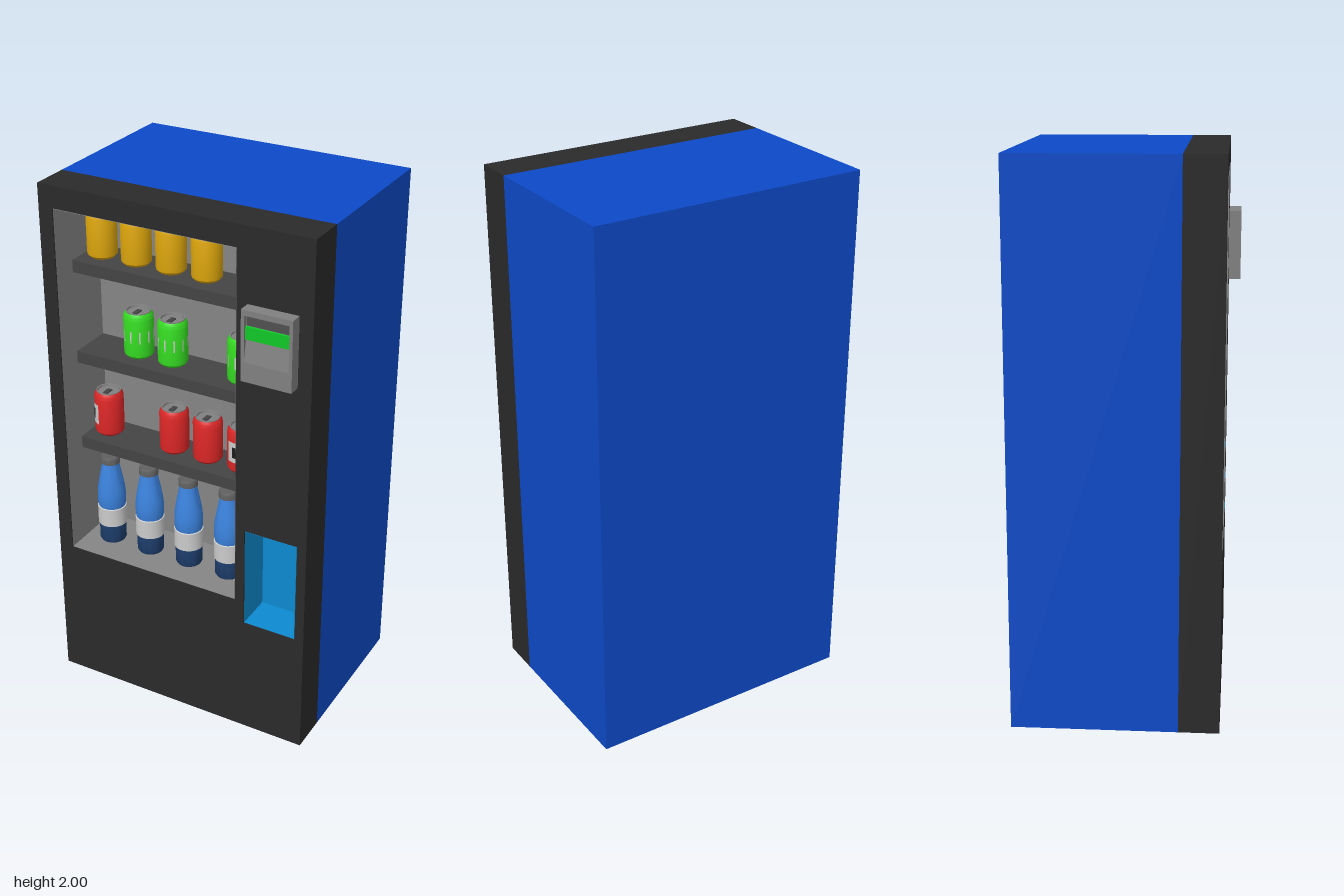
import * as THREE from 'three';
import { toCreasedNormals } from 'three/addons/utils/BufferGeometryUtils.js';

const paint = (color, side = THREE.FrontSide) => new THREE.MeshStandardMaterial({ color, side });
const DARK = paint(0x2a2a2a), BLUE = paint(0x0d4ac8), GREY = paint(0x808080), SHELF = paint(0x444444);
const LABEL = paint(0xcccccc, THREE.DoubleSide), BLACK = paint(0x1c1c1c, THREE.DoubleSide);
const LINER = paint(0x858585, THREE.DoubleSide), CHUTE = paint(0x0d8ad0, THREE.DoubleSide);

function add(parent, name, geometry, material) {
  const mesh = new THREE.Mesh(geometry, material);
  mesh.name = name;
  parent.add(mesh);
  return mesh;
}

// Box given by its limits; an open box has no front face
function box(x0, x1, y0, y1, z0, z1, open = false) {
  const g = new THREE.BoxGeometry(x1 - x0, y1 - y0, z1 - z0);
  g.translate((x0 + x1) / 2, (y0 + y1) / 2, (z0 + z1) / 2);
  if (open) {
    const i = Array.from(g.index.array);
    g.setIndex([...i.slice(0, 24), ...i.slice(30)]);
    g.clearGroups();
  }
  return g;
}

function rectangle(Type, x0, x1, y0, y1) {
  return new Type([[x0, y0], [x1, y0], [x1, y1], [x0, y1]].map(p => new THREE.Vector2(...p)));
}

// Turned part from [radius, height] pairs
function turned(points) {
  const g = new THREE.LatheGeometry(points.map(p => new THREE.Vector2(...p)), 28);
  return toCreasedNormals(g, 0.6);
}

// Curved patch on a can, centred on the angle
function patch(radius, height, y, angle, spread) {
  const g = new THREE.CylinderGeometry(radius, radius, height, 10, 1, true, angle - spread, 2 * spread);
  return g.translate(0, y, 0);
}

function makeCan(name, color) {
  const can = new THREE.Group();
  can.name = name;
  add(can, 'canBody', turned([[0, 0], [0.044, 0], [0.053, 0.01], [0.054, 0.02],
    [0.054, 0.15], [0.052, 0.16], [0.045, 0.17]]), paint(color));
  add(can, 'canLid', turned([[0.045, 0.169], [0.045, 0.173], [0.041, 0.173], [0.039, 0.165], [0, 0.165]]), GREY);
  add(can, 'pullTab', box(-0.009, 0.009, 0.165, 0.169, -0.01, 0.024), SHELF);
  return can;
}

function makeBottle() {
  const bottle = new THREE.Group();
  bottle.name = 'bottle';
  add(bottle, 'bottleBase', turned([[0, 0], [0.046, 0], [0.05, 0.008], [0.05, 0.075]]), paint(0x1f4070));
  add(bottle, 'bottleLabel', turned([[0.05, 0.073], [0.054, 0.075], [0.054, 0.148], [0.05, 0.15]]), LABEL);
  add(bottle, 'bottleNeck', turned([[0.05, 0.148], [0.053, 0.165], [0.053, 0.2], [0.05, 0.23],
    [0.043, 0.27], [0.036, 0.305], [0.031, 0.335]]), paint(0x3b82dd));
  add(bottle, 'bottleCap', turned([[0.03, 0.33], [0.036, 0.333], [0.036, 0.354], [0.033, 0.36], [0, 0.36]]), paint(0x606060));
  return bottle;
}

export function createModel() {
  const model = new THREE.Group();
  model.name = 'vendingMachine';

  // Cabinet and door frame with openings for the window and the chute
  add(model, 'cabinet', box(-0.515, 0.515, 0, 2, -0.39, 0.2, true), BLUE);
  const front = rectangle(THREE.Shape, -0.515, 0.515, 0, 2);
  front.holes.push(rectangle(THREE.Path, -0.46, 0.24, 0.565, 1.92));
  front.holes.push(rectangle(THREE.Path, 0.275, 0.48, 0.475, 0.87));
  const door = new THREE.ExtrudeGeometry(front, { depth: 0.145, bevelEnabled: false });
  add(model, 'door', door.translate(0, 0, 0.2), DARK);
  add(model, 'displayInterior', box(-0.458, 0.238, 0.567, 1.918, 0.08, 0.344, true), LINER);
  add(model, 'deliveryChute', box(0.277, 0.478, 0.477, 0.868, 0.203, 0.344, true), CHUTE);

  // Shelves
  const shelves = [1.0, 1.35, 1.7];
  for (const y of shelves) add(model, 'shelf', box(-0.457, 0.237, y - 0.045, y, 0.081, 0.25), SHELF);

  // Rows of cans; some slots are empty
  const rows = [
    { name: 'redCan', color: 0xdc2626, slots: [0, 2, 3, 4] },
    { name: 'greenCan', color: 0x35dc22, slots: [1, 2, 4] },
    { name: 'yellowCan', color: 0xdca50c, slots: [0, 1, 2, 3] },
  ];
  const labelAngles = { 0: -0.9, 2: Math.PI, 3: 2.6, 4: 0.04 };
  rows.forEach(({ name, color, slots }, row) => {
    for (const slot of slots) {
      const can = makeCan(name, color);
      can.position.set(-0.39 + slot * 0.139, shelves[row], 0.16);
      if (name === 'greenCan') add(can, 'canBand', patch(0.0546, 0.045, 0.085, 0, Math.PI), LABEL);
      if (name === 'redCan') {
        add(can, 'canLabel', patch(0.0546, 0.08, 0.085, labelAngles[slot], 0.64), LABEL);
        add(can, 'canLabelCentre', patch(0.0552, 0.042, 0.085, labelAngles[slot], 0.27), BLACK);
      }
      model.add(can);
    }
  });

  // Bottles on the floor of the display
  for (let i = 0; i < 4; i++) {
    const bottle = makeBottle();
    bottle.position.set(-0.362 + i * 0.167, 0.567, 0.21);
    model.add(bottle);
  }

  // Payment panel: a stepped profile between two side strips
  const panel = new THREE.Group();
  panel.name = 'paymentPanel';
  model.add(panel);
  const profile = new THREE.Shape([[0.345, 1.48], [0.39, 1.48], [0.39, 1.55], [0.375, 1.63],
    [0.375, 1.715], [0.39, 1.715], [0.39, 1.735], [0.345, 1.735]].map(([z, y]) => new THREE.Vector2(-z, y)).reverse());
  const core = new THREE.ExtrudeGeometry(profile, { depth: 0.161, bevelEnabled: false });
  add(panel, 'panelCore', core.rotateY(Math.PI / 2).translate(0.292, 0, 0), GREY);
  for (const [x0, x1] of [[0.28, 0.292], [0.453, 0.465]])
    add(panel, 'panelSide', box(x0, x1, 1.48, 1.735, 0.345, 0.39), GREY);
  add(panel, 'noteSlot', box(0.296, 0.449, 1.678, 1.712, 0.37, 0.379), paint(0x505050));
  add(panel, 'greenDisplay', box(0.292, 0.453, 1.63, 1.675, 0.37, 0.384), paint(0x10c828));
  return model;
}
